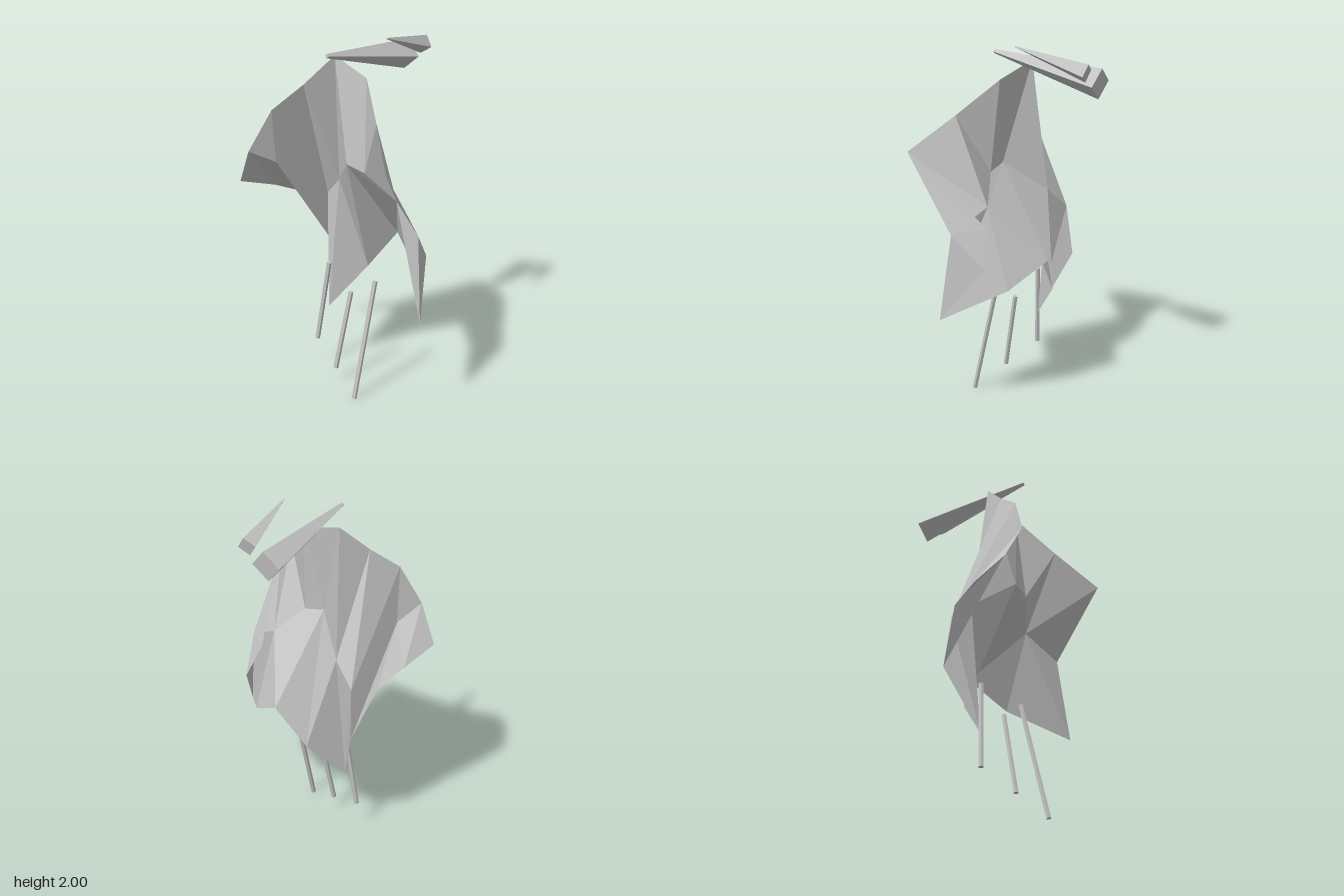
import * as THREE from 'three';

const gray = new THREE.MeshStandardMaterial({ color: 0xc4c4c4, flatShading: true, side: THREE.DoubleSide });
gray.name = 'plainGray';

// Corners of the folded sheet
const P = {
  // upper rim, from the model's right to its left
  rim0: [-0.424, 1.38, 0.455], rim1: [-0.341, 1.606, 0.356], rim2: [-0.253, 1.733, 0.203],
  rim3: [-0.167, 1.88, 0.054], rim4: [0.087, 1.807, 0.073], rim5: [0.289, 1.632, 0.21], rim6: [0.5, 1.452, 0.365],
  // fold points halfway down
  mid1: [-0.367, 1.3, 0.31], mid2: [-0.346, 1.035, -0.056], mid3: [-0.214, 1.156, -0.02],
  mid4: [-0.005, 1.33, 0.131], mid5: [0.115, 1.304, 0.117], mid6: [0.258, 1.156, 0.021], mid7: [0.476, 1.04, 0.09],
  // lower hem
  hem0: [-0.537, 1.177, 0.425], hem1: [-0.496, 1.11, 0.208], hem2: [-0.447, 1.04, 0.043],
  hem3: [-0.37, 0.749, -0.084], hem4: [-0.23, 0.394, 0.056], hem5: [-0.108, 0.622, -0.14],
  hem6: [0.045, 0.85, -0.222], hem7: [0.272, 0.717, -0.125], hem8: [0.534, 0.57, 0.13],
  // turned-in flap on the left side
  flap0: [0.396, 0.86, -0.068], flap1: [0.315, 1.057, -0.021],
};

// Each fan: a hub followed by the corners around it
const FANS = [
  'rim0 hem0 hem1',
  'mid1 rim1 rim0 hem1 hem2 hem3 mid2 rim1',
  'mid2 hem3 hem4 mid3 rim2 rim1',
  'mid3 hem4 hem5 mid4 rim3 rim2',
  'mid4 hem5 hem6 mid6 mid5 rim4 rim3',
  'mid5 mid6 rim5 rim4',
  'mid6 hem6 hem7 hem8 mid7 rim6 rim5',
  'mid7 hem8 flap0 flap1 rim6',
];

function makeCape() {
  const pos = [];
  for (const fan of FANS) {
    const [hub, ...ring] = fan.split(' ').map((n) => P[n]);
    for (let i = 0; i + 1 < ring.length; i++) pos.push(...hub, ...ring[i], ...ring[i + 1]);
  }
  const g = new THREE.BufferGeometry();
  g.setAttribute('position', new THREE.Float32BufferAttribute(pos, 3));
  g.computeVertexNormals();
  const mesh = new THREE.Mesh(g, gray);
  mesh.name = 'cape';
  return mesh;
}

// Straight tapered bar between two points
function bar(name, from, to, rFrom, rTo, sides) {
  const a = new THREE.Vector3(...from), b = new THREE.Vector3(...to);
  const dir = b.clone().sub(a);
  const mesh = new THREE.Mesh(new THREE.CylinderGeometry(rTo, rFrom, dir.length(), sides), gray);
  mesh.quaternion.setFromUnitVectors(new THREE.Vector3(0, 1, 0), dir.normalize());
  mesh.position.copy(a).add(b).multiplyScalar(0.5);
  mesh.name = name;
  return mesh;
}

export function createModel() {
  const model = new THREE.Group();
  model.name = 'capedFigure';
  model.add(makeCape());

  // Square spikes floating above, thick end at the back
  model.add(bar('rightHorn', [-0.1, 1.818, -0.44], [-0.052, 1.925, 0.222], 0.084, 0.012, 4));
  model.add(bar('leftHorn', [0.022, 1.89, -0.441], [0.111, 1.998, -0.05], 0.052, 0.003, 4));

  // Thin legs
  const legs = [
    ['leftLeg', [0.14, 0.004, 0.227], [0.14, 0.668, 0.06]],
    ['middleLeg', [-0.067, 0.097, 0.165], [-0.037, 0.55, 0.07]],
    ['rightLeg', [-0.283, 0.187, 0.1], [-0.225, 0.668, 0.056]],
  ];
  for (const [name, foot, top] of legs) model.add(bar(name, foot, top, 0.014, 0.014, 6));
  return model;
}
